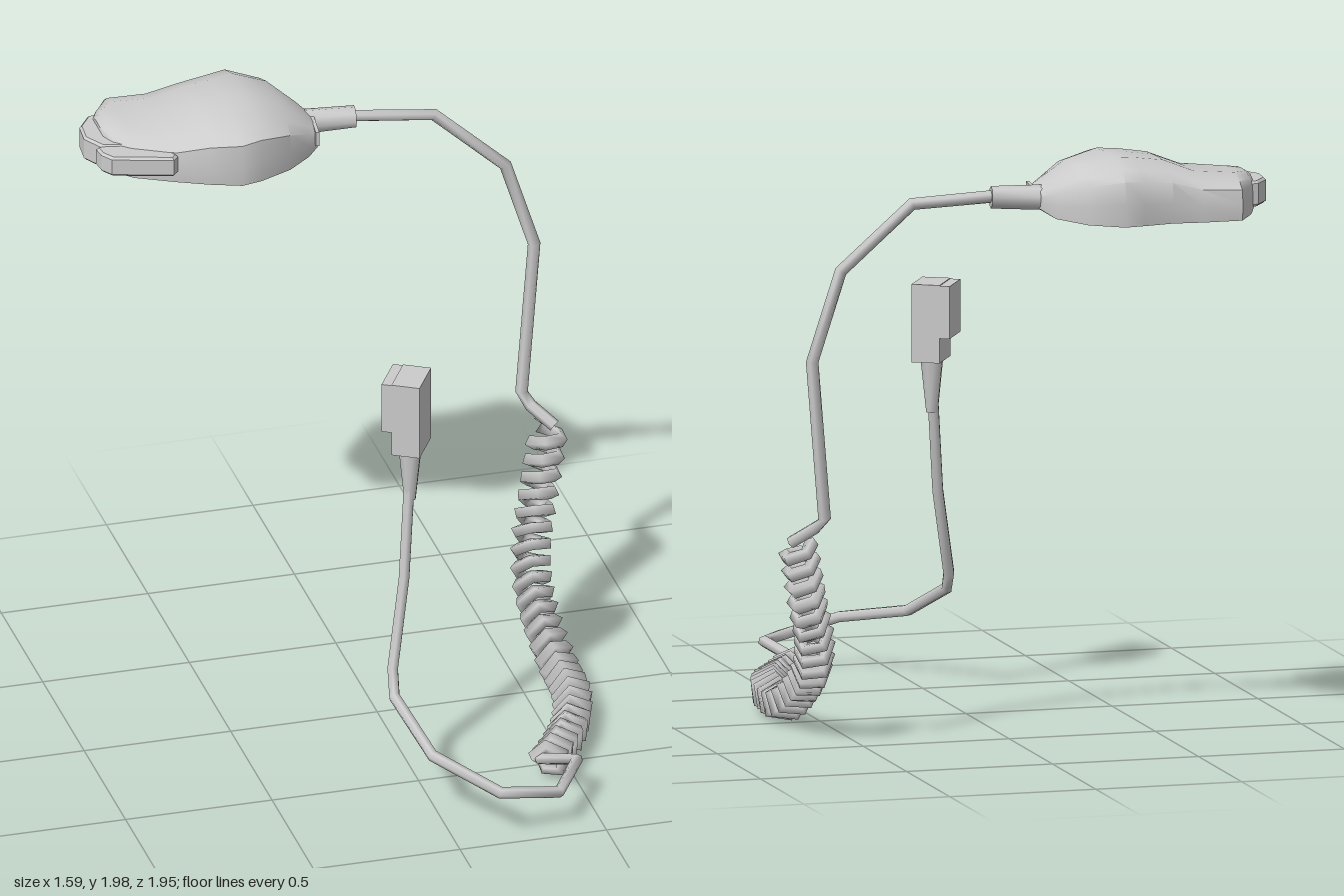
import * as THREE from 'three';
import { toCreasedNormals } from 'three/addons/utils/BufferGeometryUtils.js';

const material = new THREE.MeshStandardMaterial({ color: 0xcccccc });
const v = (p) => new THREE.Vector3(...p);

// Curve with straight runs between points, sampled exactly at the points
class Polyline extends THREE.Curve {
  constructor(points) {
    super();
    this.points = points;
  }
  getUtoTmapping(u) {
    return u;
  }
  getPoint(t, target = new THREE.Vector3()) {
    const n = this.points.length - 1;
    const i = Math.min(Math.floor(t * n), n - 1);
    return target.lerpVectors(this.points[i], this.points[i + 1], t * n - i);
  }
}

function addMesh(group, name, geometry) {
  const mesh = new THREE.Mesh(geometry, material);
  mesh.name = name;
  group.add(mesh);
  return mesh;
}

function cord(points, radius, sides) {
  return new THREE.TubeGeometry(new Polyline(points), points.length - 1, radius, sides);
}

// Closed skin over equal-sized rings ordered along +x
function loft(rings) {
  const n = rings[0].length;
  const index = [];
  for (let i = 0; i < rings.length - 1; i++) {
    for (let j = 0; j < n; j++) {
      const k = (j + 1) % n;
      const a = i * n + j, b = i * n + k, c = b + n, d = a + n;
      index.push(a, b, c, a, c, d);
    }
  }
  const last = (rings.length - 1) * n;
  for (let j = 1; j < n - 1; j++) {
    index.push(0, j + 1, j, last, last + j, last + j + 1);
  }
  const geometry = new THREE.BufferGeometry();
  geometry.setAttribute('position', new THREE.Float32BufferAttribute(rings.flat(2), 3));
  geometry.setIndex(index);
  return toCreasedNormals(geometry, 0.75);
}

// Plan outline in x, z extruded between two heights
function slab(outline, y0, y1) {
  const shape = new THREE.Shape(outline.map(([x, z]) => new THREE.Vector2(x, -z)));
  const bevel = 0.008;
  const geometry = new THREE.ExtrudeGeometry(shape, {
    depth: y1 - y0 - 2 * bevel, bevelSize: bevel, bevelThickness: bevel,
    bevelOffset: -bevel, bevelSegments: 1,
  });
  return geometry.rotateX(-Math.PI / 2).translate(0, y0 + bevel, 0);
}

// Tapered cylinder between two points
function rod(from, to, r0, r1, sides) {
  const axis = to.clone().sub(from);
  const geometry = new THREE.CylinderGeometry(r1, r0, axis.length(), sides);
  geometry.applyQuaternion(new THREE.Quaternion().setFromUnitVectors(
    new THREE.Vector3(0, 1, 0), axis.normalize()));
  const mid = from.clone().add(to).multiplyScalar(0.5);
  return toCreasedNormals(geometry.translate(mid.x, mid.y, mid.z), 0.9);
}

function buildHandset() {
  const group = new THREE.Group();
  group.name = 'handset';
  // Stations: x, back z, front z, top y, bottom y
  const stations = [
    [-0.735, -0.85, -0.69, 1.915, 1.81],
    [-0.715, -0.89, -0.645, 1.93, 1.795],
    [-0.66, -0.975, -0.595, 1.935, 1.79],
    [-0.53, -0.965, -0.53, 1.942, 1.788],
    [-0.43, -0.95, -0.485, 1.98, 1.787],
    [-0.33, -0.965, -0.45, 1.993, 1.786],
    [-0.26, -0.975, -0.465, 2.0, 1.786],
    [-0.15, -0.92, -0.51, 1.97, 1.79],
    [-0.07, -0.81, -0.57, 1.915, 1.797],
    [-0.035, -0.77, -0.59, 1.885, 1.82],
  ];
  // Section: fraction across depth, fraction of height
  const section = [
    [0.27, 1], [0.5, 1], [0.68, 0.98], [0.88, 0.86], [0.98, 0.7], [1, 0.35], [0.985, 0],
    [0.015, 0], [0, 0.35], [0.02, 0.7], [0.1, 0.86],
  ];
  addMesh(group, 'handsetShell', loft(stations.map(([x, zb, zf, top, bottom]) =>
    section.map(([f, g]) => [x, bottom + (top - bottom) * g, zb + (zf - zb) * f]))));

  // End pad and side key
  addMesh(group, 'endPad', slab([
    [-0.7, -0.87], [-0.745, -0.865], [-0.79, -0.8], [-0.797, -0.72], [-0.755, -0.645], [-0.68, -0.63],
  ], 1.815, 1.9));
  addMesh(group, 'sideKey', slab([
    [-0.72, -0.67], [-0.775, -0.65], [-0.77, -0.605], [-0.745, -0.565], [-0.68, -0.545],
    [-0.55, -0.505], [-0.53, -0.53], [-0.55, -0.57],
  ], 1.825, 1.895));

  // Cord outlet and the thin clip beside it
  addMesh(group, 'cordOutlet', rod(v([-0.06, 1.855, -0.713]), v([0.12, 1.86, -0.692]), 0.042, 0.037, 8));
  const clip = addMesh(group, 'outletClip', new THREE.BoxGeometry(0.012, 0.05, 0.15));
  clip.position.set(-0.033, 1.86, -0.645);
  clip.rotation.y = -0.12;
  return group;
}

function buildCord() {
  const group = new THREE.Group();
  group.name = 'cord';
  addMesh(group, 'upperCord', cord([
    [0.08, 1.865, -0.697], [0.38, 1.845, -0.66], [0.62, 1.63, -0.645], [0.715, 1.33, -0.635],
    [0.665, 0.8, -0.61], [0.685, 0.765, -0.57], [0.75, 0.71, -0.51],
  ].map(v), 0.021, 6));
  addMesh(group, 'lowerCord', cord([
    [0.38, 0.1, 0.61], [0.47, 0.155, 0.75], [0.36, 0.14, 0.925], [0.15, 0.185, 0.96],
    [-0.02, 0.235, 0.74], [-0.085, 0.345, 0.51], [-0.07, 0.41, 0.435], [-0.01, 0.7, 0.36],
    [0.02, 1.02, 0.315],
  ].map(v), 0.02, 6));

  // Coarse helix wound around a curved centre line
  const centre = new THREE.CatmullRomCurve3([
    [0.735, 0.7, -0.53], [0.685, 0.5, -0.475], [0.64, 0.36, -0.4], [0.615, 0.25, -0.3],
    [0.61, 0.155, -0.15], [0.62, 0.09, 0], [0.61, 0.083, 0.2], [0.555, 0.083, 0.37],
    [0.48, 0.085, 0.51], [0.405, 0.09, 0.625],
  ].map(v));
  const turns = 26, perTurn = 5, count = turns * perTurn;
  const { normals, binormals } = centre.computeFrenetFrames(count);
  const points = [];
  for (let i = 0; i <= count; i++) {
    const a = i / perTurn * Math.PI * 2;
    points.push(centre.getPointAt(i / count)
      .addScaledVector(normals[i], 0.05 * Math.cos(a))
      .addScaledVector(binormals[i], 0.05 * Math.sin(a)));
  }
  addMesh(group, 'coiledCord', cord(points, 0.024, 4));
  return group;
}

function buildPlug() {
  const group = new THREE.Group();
  group.name = 'plug';
  addMesh(group, 'strainRelief', rod(v([0.022, 0.97, 0.318]), v([0.025, 1.16, 0.31]), 0.02, 0.04, 8));
  // Block with a raised latch on one face, turned about the vertical
  const block = new THREE.Group();
  block.name = 'plugBlock';
  block.position.set(0.018, 0, 0.287);
  block.rotation.y = -0.53;
  addMesh(block, 'plugBody', new THREE.BoxGeometry(0.095, 0.26, 0.15)).position.set(0.017, 1.28, 0);
  addMesh(block, 'plugLatch', new THREE.BoxGeometry(0.035, 0.175, 0.148)).position.set(-0.047, 1.32, 0);
  group.add(block);
  return group;
}

export function createModel() {
  const model = new THREE.Group();
  model.name = 'handsetWithCoiledCord';
  model.add(buildHandset(), buildCord(), buildPlug());
  return model;
}
